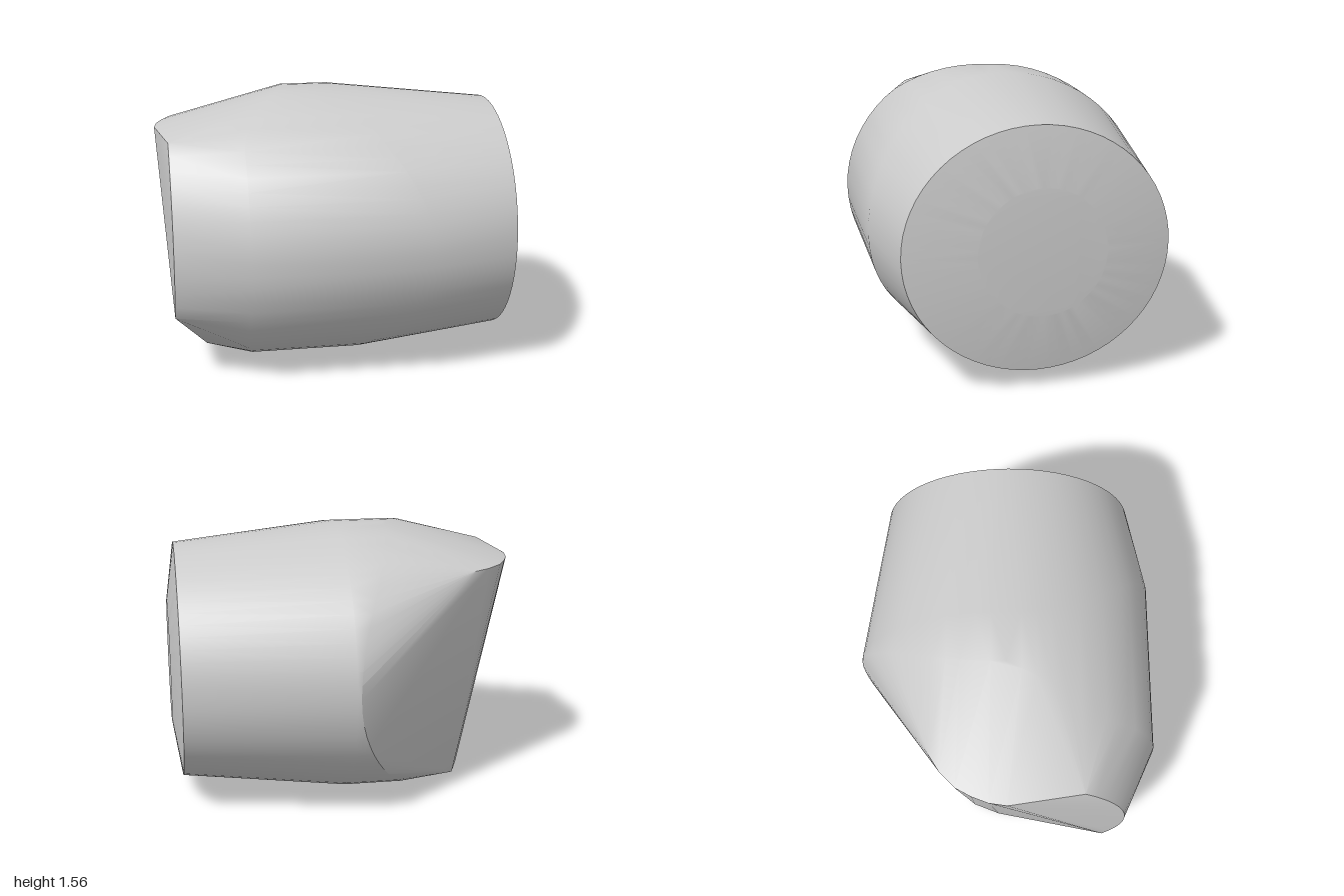
import * as THREE from 'three';
import { ConvexGeometry } from 'three/addons/geometries/ConvexGeometry.js';
import { toCreasedNormals } from 'three/addons/utils/BufferGeometryUtils.js';

const SEGMENTS = 64;
const MID = 0.78; // height of the barrel axis

// Calls place(s, c) around a ring: s = 1 is the top, c = 1 is the front.
function ring(place) {
  const points = [];
  for (let i = 0; i < SEGMENTS; i++) {
    const a = (i / SEGMENTS) * Math.PI * 2;
    points.push(new THREE.Vector3(...place(Math.sin(a), Math.cos(a))));
  }
  return points;
}

// Where the straight middle of the barrel stops on the cut side.
function cutStart(s, c) {
  const pole = s > 0 ? -0.26 : -0.4;
  const z = 0.85 * c;
  if (c > 0) return THREE.MathUtils.lerp(pole, -0.54, Math.min(1, z / 0.56));
  return pole * (1 - c * c);
}

export function createModel() {
  const grey = new THREE.MeshStandardMaterial({ color: 0xcccccc });
  grey.name = 'stone grey';

  const points = [
    // Shallow domed end
    ...ring((s, c) => [1, MID + 0.355 * s, 0.355 * c]),
    ...ring((s, c) => [0.95, MID + 0.68 * s, 0.02 + 0.73 * c]),
    // Both limits of the straight middle
    ...ring((s, c) => [0.02 + 0.44 * Math.max(0, c) ** 2, MID + 0.78 * s, 0.853 * c]),
    ...ring((s, c) => [cutStart(s, c), MID + 0.78 * s, 0.853 * c]),
  ];

  // Front rim of the cut end
  for (let i = 0; i <= 12; i++) {
    const a = THREE.MathUtils.lerp(-0.56, 0.9, i / 12);
    points.push(new THREE.Vector3(-0.94, MID + 0.73 * Math.sin(a), 0.67 * Math.cos(a)));
  }

  // Upper rim of the cut end, rounding into the slanted back face
  [[-1, 0], [-0.985, -0.1], [-0.95, -0.19], [-0.9, -0.28], [-0.81, -0.365], [-0.72, -0.42]]
    .forEach(([x, z]) => points.push(new THREE.Vector3(x, 1.35, z)));

  // Lower tip of the cut end
  [[-0.74, 0.1], [-0.73, -0.05], [-0.67, -0.2]]
    .forEach(([x, z]) => points.push(new THREE.Vector3(x, 0.04, z)));

  const body = new THREE.Mesh(toCreasedNormals(new ConvexGeometry(points), 0.5), grey);
  body.name = 'cutBarrelBody';

  const group = new THREE.Group();
  group.name = 'cutBarrel';
  group.add(body);
  return group;
}
